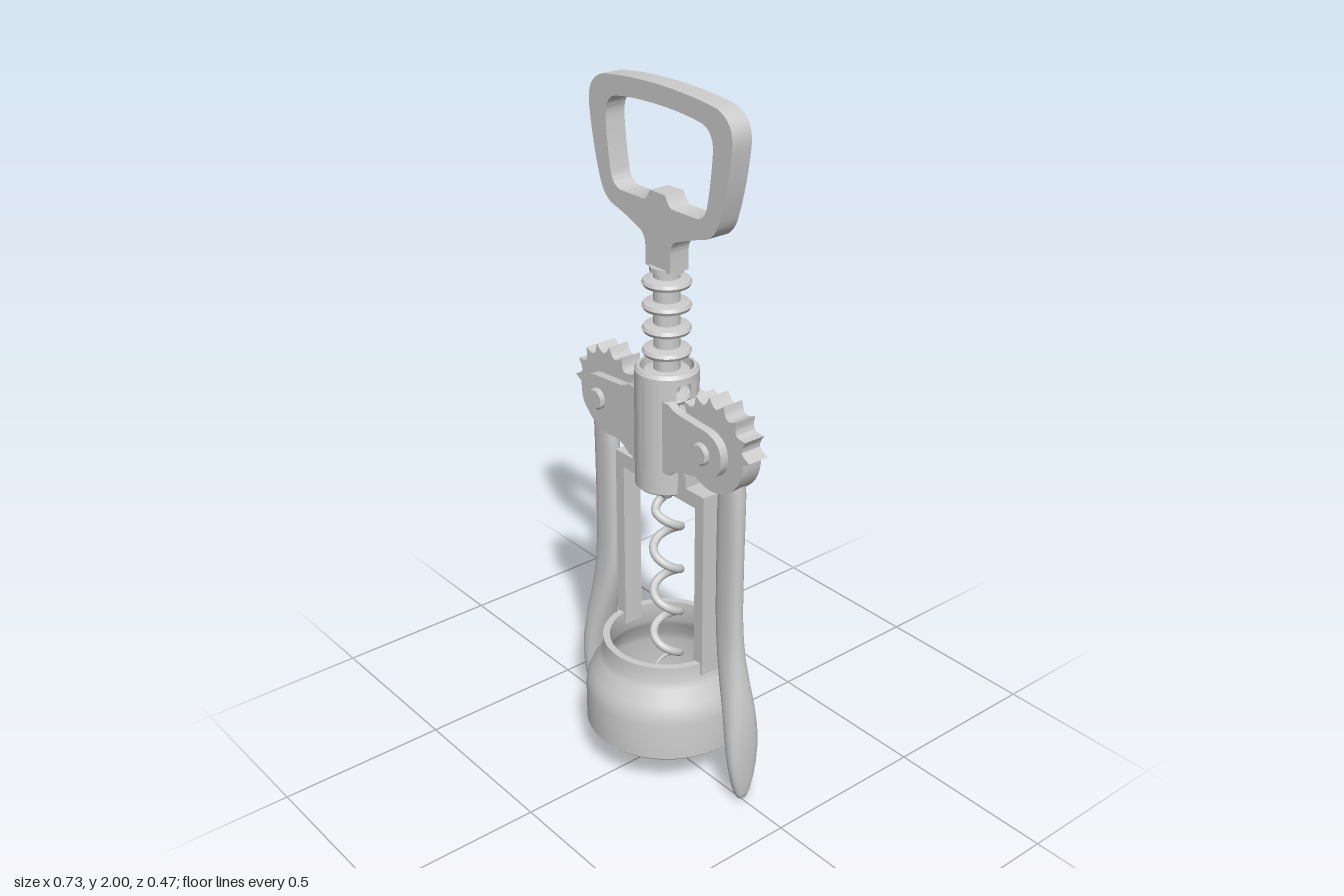
import * as THREE from 'three';
import { toCreasedNormals } from 'three/addons/utils/BufferGeometryUtils.js';

const V2 = (x, y) => new THREE.Vector2(x, y);
const PIVOT = { x: 0.22, y: 1.085 };

export function createModel() {
  const model = new THREE.Group();
  const mat = new THREE.MeshStandardMaterial({ color: 0xcccccc });

  const add = (name, geo, parent = model) => {
    const mesh = new THREE.Mesh(geo, mat);
    mesh.name = name;
    parent.add(mesh);
    return mesh;
  };
  const crease = (geo, angle = 0.6) => toCreasedNormals(geo, angle);
  const lathe = (pts, seg = 64) => crease(new THREE.LatheGeometry(pts.map(p => V2(...p)), seg));
  // slab between two z values
  const slab = (shape, z0, z1, curveSegments = 16) => {
    const g = new THREE.ExtrudeGeometry(shape, { depth: z1 - z0, bevelEnabled: false, curveSegments });
    return crease(g.translate(0, 0, z0));
  };
  const box = (name, x0, x1, y0, y1, d) =>
    add(name, new THREE.BoxGeometry(x1 - x0, y1 - y0, d)).position.set((x0 + x1) / 2, (y0 + y1) / 2, 0);
  // right half of an outline, mirrored into a closed one
  const mirrored = path => {
    const half = path.getPoints(10);
    return half.concat(half.slice().reverse().map(p => V2(-p.x, p.y)).filter(p => Math.abs(p.x) > 1e-5));
  };

  // Pull handle: rounded loop with a neck
  const outer = new THREE.Path();
  outer.moveTo(0, 1.52);
  outer.lineTo(0.05, 1.52);
  outer.lineTo(0.05, 1.575);
  outer.quadraticCurveTo(0.052, 1.607, 0.085, 1.616);
  outer.quadraticCurveTo(0.14, 1.638, 0.18, 1.648);
  outer.quadraticCurveTo(0.222, 1.66, 0.238, 1.71);
  outer.quadraticCurveTo(0.265, 1.79, 0.278, 1.89);
  outer.quadraticCurveTo(0.288, 1.965, 0.22, 1.985);
  outer.quadraticCurveTo(0.12, 2.0, 0, 2.0);
  const inner = new THREE.Path();
  inner.moveTo(0, 1.725);
  inner.lineTo(0.03, 1.725);
  inner.quadraticCurveTo(0.042, 1.7, 0.055, 1.695);
  inner.lineTo(0.15, 1.695);
  inner.quadraticCurveTo(0.18, 1.698, 0.19, 1.73);
  inner.quadraticCurveTo(0.205, 1.8, 0.21, 1.875);
  inner.quadraticCurveTo(0.212, 1.925, 0.17, 1.938);
  inner.quadraticCurveTo(0.1, 1.95, 0, 1.95);
  const loop = new THREE.Shape(mirrored(outer));
  loop.holes.push(new THREE.Path(mirrored(inner)));
  add('handle', slab(loop, -0.031, 0.031));

  // Shaft with rack rings
  const shaft = [[0, 0.9], [0.036, 0.9]];
  for (let i = 8; i >= 0; i--) {
    const y = 1.48 - i * 0.0645;
    shaft.push([0.036, y - 0.014], [0.062, y - 0.009], [0.067, y], [0.062, y + 0.009], [0.036, y + 0.014]);
  }
  shaft.push([0.036, 1.508], [0.046, 1.511], [0.046, 1.525], [0, 1.525]);
  add('rackShaft', lathe(shaft, 40));

  // Barrel: collars with a slotted middle for the gears
  add('barrelTop', lathe([[0.073, 1.215], [0.088, 1.215], [0.088, 1.235], [0.081, 1.245], [0.073, 1.245], [0.073, 1.215]], 48));
  add('barrelBottom', lathe([[0.025, 0.89], [0.083, 0.89], [0.088, 0.895], [0.088, 0.965], [0.073, 0.965], [0.073, 0.91], [0.025, 0.91], [0.025, 0.89]], 48));
  for (const s of [0, Math.PI]) {
    const a = 0.4, wall = new THREE.Shape();
    wall.absarc(0, 0, 0.088, s + a, s + Math.PI - a, false);
    wall.absarc(0, 0, 0.073, s + Math.PI - a, s + a, true);
    add('barrelWall', slab(wall, 0.965, 1.215, 24).rotateX(-Math.PI / 2));
  }

  // Frame between barrel and base
  box('frameBar', -0.19, 0.19, 0.883, 0.927, 0.06);
  for (const s of [-1, 1]) {
    box('frameLeg', s * 0.1725 - 0.0175, s * 0.1725 + 0.0175, 0.36, 0.9, 0.06);
    box('barrelShoulder', s * 0.095 - 0.02, s * 0.095 + 0.02, 0.92, 0.965, 0.06);
  }

  // Bell-shaped base ring
  add('base', lathe([
    [0.212, 0.115], [0.228, 0.115], [0.236, 0.123], [0.236, 0.235], [0.232, 0.262], [0.22, 0.29],
    [0.195, 0.33], [0.186, 0.35], [0.185, 0.397], [0.165, 0.397], [0.165, 0.335], [0.178, 0.31],
    [0.204, 0.262], [0.212, 0.235], [0.212, 0.115],
  ], 80));

  // Screw: helix tapering to a point
  const points = [];
  for (let i = 0; i <= 160; i++) {
    const t = i / 160, y = 0.86 - t * 0.6;
    const r = 0.038 * Math.min(1, t / 0.09);
    const a = 2 * Math.PI * (0.77 - y) / 0.14;
    points.push(new THREE.Vector3(r * Math.cos(a), y, -r * Math.sin(a)));
  }
  const helix = new THREE.CatmullRomCurve3(points);
  const rings = 260, sides = 10;
  const wire = new THREE.TubeGeometry(helix, rings, 0.0125, sides);
  const pos = wire.attributes.position, v = new THREE.Vector3();
  for (let i = 0; i < pos.count; i++) {
    const t = Math.floor(i / (sides + 1)) / rings;
    const k = Math.max(0.02, Math.min(1, (1 - t) / 0.12));
    const c = helix.getPointAt(t);
    v.fromBufferAttribute(pos, i).sub(c).multiplyScalar(k).add(c);
    pos.setXYZ(i, v.x, v.y, v.z);
  }
  add('screw', wire);
  add('screwCollar', lathe([[0, 0.843], [0.014, 0.845], [0.024, 0.86], [0.024, 0.868], [0.032, 0.87], [0.032, 0.9], [0, 0.9]], 32));

  // Pivot plates, front and back
  const plate = new THREE.Path();
  plate.moveTo(0, 0.965);
  plate.lineTo(0.085, 0.965);
  plate.quadraticCurveTo(0.105, 0.985, 0.13, 0.99);
  plate.lineTo(0.235, 1.018);
  plate.quadraticCurveTo(0.295, 1.035, 0.295, 1.085);
  plate.quadraticCurveTo(0.295, 1.142, 0.235, 1.152);
  plate.lineTo(0.13, 1.16);
  plate.quadraticCurveTo(0.105, 1.162, 0.085, 1.175);
  plate.lineTo(0, 1.175);
  const plateHalf = plate.getPoints(10).map(p => V2(Math.max(p.x, 0.05), p.y));

  // Lever arm sections: y, inner x, outer x, half depth
  const sections = [
    [1.02, 0.235, 0.305, 0.027], [0.97, 0.226, 0.312, 0.027], [0.9, 0.222, 0.313, 0.025], [0.75, 0.221, 0.312, 0.024],
    [0.6, 0.222, 0.312, 0.025], [0.52, 0.227, 0.317, 0.027], [0.45, 0.237, 0.325, 0.031], [0.38, 0.253, 0.338, 0.038],
    [0.31, 0.274, 0.35, 0.046], [0.24, 0.292, 0.356, 0.052], [0.18, 0.303, 0.357, 0.053], [0.12, 0.31, 0.356, 0.047],
    [0.07, 0.314, 0.354, 0.037], [0.03, 0.318, 0.35, 0.025], [0.01, 0.323, 0.345, 0.014], [0, 0.333, 0.335, 0.001],
  ];
  const loft = () => {
    const n = 24, verts = [], idx = [];
    const round = c => Math.sign(c) * Math.abs(c) ** 0.8;
    sections.forEach(([y, x0, x1, d], i) => {
      for (let j = 0; j < n; j++) {
        const a = j / n * 2 * Math.PI;
        verts.push((x0 + x1) / 2 + (x1 - x0) / 2 * round(Math.cos(a)), y, d * round(Math.sin(a)));
        if (i === sections.length - 1) continue;
        const p = i * n + j, q = i * n + (j + 1) % n;
        idx.push(p, q, p + n, q, q + n, p + n);
      }
    });
    const g = new THREE.BufferGeometry();
    g.setAttribute('position', new THREE.Float32BufferAttribute(verts, 3));
    g.setIndex(idx);
    g.computeVertexNormals();
    return g;
  };

  // Gear head: scalloped teeth over the top, plain rim below
  const gearPoints = [], pitch = 22, teeth = 10, steps = 6;
  for (let i = 0; i <= teeth * steps; i++) {
    const a = (6 + i * pitch / steps) * Math.PI / 180;
    const r = 0.148 - 0.026 * Math.sin(Math.PI * (i % steps) / steps) ** 0.8;
    gearPoints.push(V2(PIVOT.x + r * Math.cos(a), PIVOT.y + r * Math.sin(a)));
  }
  for (let d = 232; d <= 360; d += 8) {
    const a = d * Math.PI / 180;
    gearPoints.push(V2(PIVOT.x + 0.122 * Math.cos(a), PIVOT.y + 0.122 * Math.sin(a)));
  }

  for (const side of ['left', 'right']) {
    const group = new THREE.Group();
    group.name = side + 'Lever';
    if (side === 'right') group.rotation.y = Math.PI;
    model.add(group);
    add('leverArm', loft(), group);
    add('gearHead', slab(new THREE.Shape(gearPoints), -0.032, 0.032), group);
    for (const z of [-0.065, 0.04]) add('pivotPlate', slab(new THREE.Shape(plateHalf), z, z + 0.025), group);
    // pin with rounded heads
    const pin = lathe([
      [0, -0.078], [0.026, -0.078], [0.031, -0.073], [0.031, -0.065], [0.022, -0.065],
      [0.022, 0.065], [0.031, 0.065], [0.031, 0.073], [0.026, 0.078], [0, 0.078],
    ], 32).rotateX(Math.PI / 2);
    add('pivotPin', pin, group).position.set(PIVOT.x, PIVOT.y, 0);
  }
  return model;
}
